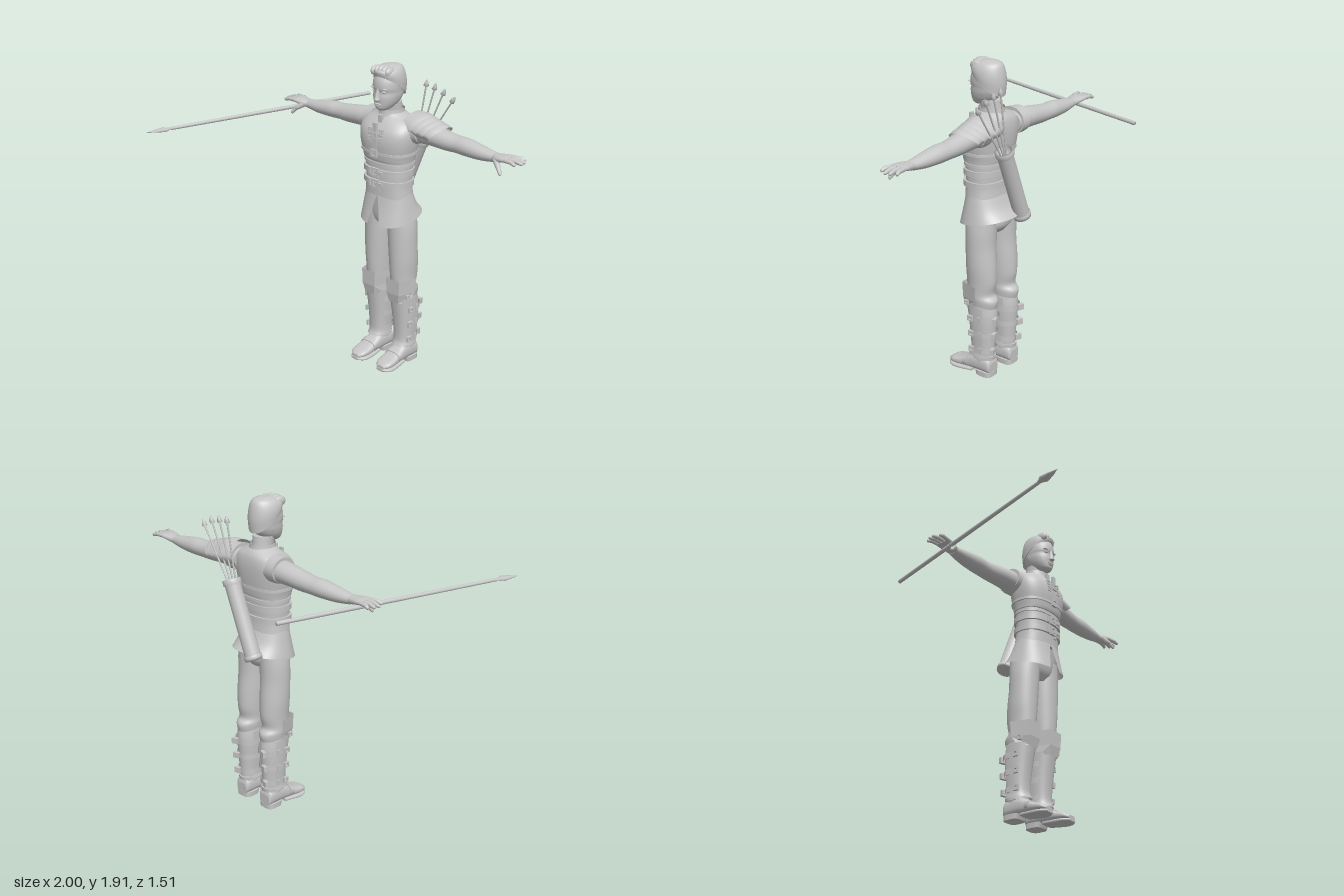
import * as THREE from 'three';

const grey = new THREE.MeshStandardMaterial({ color: 0xc6c6c6, side: THREE.DoubleSide });
grey.name = 'clay grey';

// Loft of superellipse rings, listed upwards: [y, x, zFront, zBack, rx, power, gap, tilt].
// A gap leaves the ring open around angle "phase" (0 = front, PI = back).
function loft(rows, { segs = 32, sub = 4, phase = 0, caps = true } = {}) {
  const full = rows.map(r => [r[0], r[1], r[2], r[3], r[4], r[5] ?? 2, r[6] ?? 0, r[7] ?? 0]);
  const curve = new THREE.CubicInterpolant(new Float32Array(full.map((r, i) => i)), new Float32Array(full.flat()), 8);
  const open = full.some(r => r[6] > 0), pos = [], idx = [], n = (rows.length - 1) * sub, w = segs + 1;
  const bend = (v, p) => Math.sign(v) * Math.abs(v) ** (2 / p);
  for (let i = 0; i <= n; i++) {
    const [y, x, zf, zb, rx, p, gap, tilt] = Array.from(curve.evaluate(i / sub));
    const cz = (zf + zb) / 2, rz = (zf - zb) / 2;
    for (let j = 0; j <= segs; j++) {
      const a = phase + gap + (2 * Math.PI - 2 * gap) * (open ? j / segs : (j % segs) / segs);
      const dz = rz * bend(Math.cos(a), p);
      pos.push(x + rx * bend(Math.sin(a), p), y + tilt * dz, cz + dz);
    }
  }
  for (let i = 0; i < n; i++) for (let j = 0; j < segs; j++) {
    const a = i * w + j, b = i * w + (open ? j + 1 : (j + 1) % segs);
    idx.push(a, b, b + w, a, b + w, a + w);
  }
  if (caps && !open) for (const [row, top] of [[0, false], [n, true]]) {
    const start = pos.length / 3, ring = pos.slice(row * w * 3, (row * w + segs) * 3), c = [0, 0, 0];
    ring.forEach((v, k) => { c[k % 3] += v / segs; });
    pos.push(...ring, ...c);
    for (let j = 0; j < segs; j++) {
      const a = start + j, b = start + (j + 1) % segs;
      idx.push(start + segs, top ? a : b, top ? b : a);
    }
  }
  const g = new THREE.BufferGeometry();
  g.setAttribute('position', new THREE.Float32BufferAttribute(pos, 3));
  g.setIndex(idx);
  g.computeVertexNormals();
  return g;
}

// Turned profile [radius, fraction of length] running from point a to point b.
function turned(a, b, profile, segs = 12) {
  const A = new THREE.Vector3(...a), d = new THREE.Vector3(...b).sub(A), len = d.length();
  const g = new THREE.LatheGeometry(profile.map(([r, t]) => new THREE.Vector2(r, t * len)), segs);
  g.applyQuaternion(new THREE.Quaternion().setFromUnitVectors(new THREE.Vector3(0, 1, 0), d.normalize()));
  return g.translate(...a);
}

function ball(x, y, z, sx, sy, sz) {
  return new THREE.SphereGeometry(1, 20, 14).scale(sx, sy, sz).translate(x, y, z);
}

function box(x, y, z, w, h, d, ry = 0) {
  return new THREE.BoxGeometry(w, h, d).rotateY(ry).translate(x, y, z);
}

// Square buckle frame with an open centre.
function buckle(x, y, z, s, ry = 0) {
  const rect = (T, r) => new T([[-r, -r], [r, -r], [r, r], [-r, r]].map(p => new THREE.Vector2(...p)));
  const shape = rect(THREE.Shape, s);
  shape.holes.push(rect(THREE.Path, s * 0.55));
  return new THREE.ExtrudeGeometry(shape, { depth: 0.014, bevelEnabled: false }).rotateY(ry).translate(x, y, z);
}

function mirror(g) {
  const m = g.clone().scale(-1, 1, 1);
  if (!m.index) m.setIndex([...Array(m.attributes.position.count).keys()]);
  const a = m.index.array;
  for (let i = 0; i < a.length; i += 3) [a[i], a[i + 1]] = [a[i + 1], a[i]];
  return m;
}

export function createModel() {
  const root = new THREE.Group(), body = new THREE.Group();
  root.name = 'archer';
  body.name = 'body';
  body.position.x = 0.07;
  root.add(body);
  const add = (name, g, parent = body) => {
    const m = new THREE.Mesh(g, grey);
    m.name = name;
    parent.add(m);
  };
  const pair = (name, g) => { add(name + 'Left', g); add(name + 'Right', mirror(g)); };

  // Head and face
  add('neck', loft([[1.55, 0, -.16, -.31, .075], [1.61, 0, -.165, -.29, .06], [1.68, 0, -.15, -.28, .06]]));
  add('head', loft([[1.64, 0, -.115, -.16, .022], [1.655, 0, -.1, -.21, .046], [1.685, 0, -.097, -.255, .066, 2.2],
    [1.72, 0, -.095, -.28, .077, 2.2], [1.75, 0, -.1, -.29, .08, 2.2], [1.775, 0, -.093, -.295, .083, 2.2],
    [1.82, 0, -.097, -.3, .083], [1.87, 0, -.12, -.28, .06]]));
  add('nose', loft([[1.7, 0, -.088, -.12, .013], [1.708, 0, -.073, -.12, .019], [1.725, 0, -.078, -.12, .014],
    [1.775, 0, -.092, -.12, .009]], { segs: 16 }));
  add('upperLip', ball(0, 1.682, -.098, .026, .006, .008));
  add('lowerLip', ball(0, 1.673, -.1, .022, .006, .008));
  pair('eye', ball(.033, 1.755, -.112, .016, .008, .012));
  pair('brow', ball(.036, 1.774, -.108, .024, .006, .011));
  pair('ear', ball(.084, 1.742, -.205, .011, .034, .02).rotateY(0.08));
  add('hair', loft([[1.775, 0, -.1, -.302, .087, 2, 0, .7], [1.82, 0, -.095, -.308, .09, 2, 0, .4],
    [1.86, 0, -.098, -.3, .082, 2, 0, .15], [1.888, 0, -.118, -.28, .062], [1.902, 0, -.165, -.235, .025]]));
  for (let i = 0; i < 5; i++)
    add('hairLock', ball(-.048 + i * .024, 1.868 + .008 * Math.sin(i * 0.8), -.135 - .004 * i, .02, .03, .042));

  // Torso armour
  add('chestArmour', loft([[1.335, 0, -.09, -.32, .162, 2.4], [1.36, 0, -.083, -.325, .166, 2.4],
    [1.45, 0, -.073, -.335, .184, 2.5], [1.52, 0, -.085, -.337, .186, 2.6], [1.57, 0, -.118, -.33, .165, 2.4],
    [1.6, 0, -.142, -.315, .11], [1.62, 0, -.15, -.295, .07]], { segs: 48 }));
  add('collar', loft([[1.57, 0, -.13, -.325, .095], [1.61, 0, -.143, -.305, .076], [1.638, 0, -.148, -.3, .072]],
    { caps: false }));
  add('waistArmour', loft([[1.105, 0, -.1, -.315, .155, 2.4], [1.2, 0, -.1, -.307, .148, 2.4],
    [1.345, 0, -.098, -.315, .155, 2.4]], { segs: 48 }));
  const belt = (name, y, h, zf, zb, rx) => add(name, loft([[y - h, 0, zf, zb, rx, 2.4], [y + h, 0, zf, zb, rx, 2.4]],
    { segs: 48, sub: 1 }));
  belt('upperBelt', 1.27, .017, -.086, -.319, .161);
  belt('lowerBelt', 1.2, .017, -.086, -.319, .159);
  belt('waistTrim', 1.318, .008, -.092, -.32, .16);
  belt('chestBand', 1.39, .008, -.074, -.333, .179);
  for (const y of [1.27, 1.2]) {
    add('beltBuckle', buckle(0, y, -.087, .027));
    add('beltTongue', box(.03, y, -.077, .06, .022, .01));
    add('beltLoop', box(-.045, y, -.085, .012, .042, .012));
  }
  add('beltEnd', box(.024, 1.185, -.083, .022, .06, .008));
  add('chestStrap', box(0, 1.475, -.078, .028, .2, .016));
  add('chestBuckle', buckle(0, 1.5, -.076, .02));
  add('lowerChestBuckle', buckle(0, 1.39, -.076, .023));
  pair('sideClaspUpper', buckle(.042, 1.525, -.092, .013));
  pair('sideClaspLower', buckle(.042, 1.475, -.084, .013));
  pair('claspStrap', box(.03, 1.5, -.084, .05, .014, .012));
  add('collarClasp', box(0, 1.585, -.126, .026, .05, .02));

  // Flared skirt, split in front
  add('skirt', loft([[.972, 0, -.06, -.395, .184, 2.3, .2, -.21], [1.05, 0, -.085, -.345, .168, 2.3, .1, -.06],
    [1.13, 0, -.102, -.312, .153, 2.3, .01, 0]], { segs: 48 }));

  // Trousers
  add('hips', loft([[.9, 0, -.165, -.3, .09], [.96, 0, -.13, -.33, .155, 2.3], [1.1, 0, -.115, -.305, .148, 2.3]]));
  pair('trouserLeg', loft([[.42, .1, -.165, -.33, .06], [.49, .1, -.155, -.345, .07], [.53, .1, -.15, -.318, .072],
    [.6, .098, -.143, -.33, .076], [.7, .098, -.138, -.328, .083], [.82, .095, -.134, -.318, .086],
    [.92, .092, -.131, -.32, .086], [1.02, .085, -.125, -.325, .078]]));

  // Boots, greaves and knee guards
  pair('bootShaft', loft([[.06, .103, -.2, -.325, .05], [.13, .103, -.193, -.325, .054], [.25, .102, -.185, -.332, .062],
    [.38, .1, -.17, -.342, .07], [.46, .1, -.165, -.335, .066]]));
  pair('greave', loft([[.125, .103, -.168, -.335, .066, 2.4, 1.15], [.17, .103, -.182, -.33, .062, 2.4, 1.15],
    [.3, .102, -.172, -.345, .07, 2.4, 1.15], [.45, .1, -.15, -.345, .076, 2.4, 1.15]], { phase: Math.PI }));
  const knee = loft([[.43, .1, -.138, -.34, .072, 2.6, 1.8], [.49, .1, -.122, -.34, .08, 2.6, 1.5],
    [.585, .1, -.12, -.345, .088, 2.6, 1.45]], { segs: 3, sub: 1, phase: Math.PI }).toNonIndexed();
  knee.computeVertexNormals();
  pair('kneeGuard', knee);
  pair('kneeBuckle', buckle(.172, .475, -.185, .014, Math.PI / 2));
  for (const [y, rx, zf, zb] of [[.38, .077, -.164, -.348], [.28, .072, -.172, -.341], [.175, .066, -.181, -.333]]) {
    pair('shinStrap', loft([[y - .016, .101, zf, zb, rx, 2.3, 1.1], [y + .016, .101, zf, zb, rx, 2.3, 1.1]], { sub: 1 }));
    pair('strapBuckle', buckle(.097 + rx, y, -.215, .017, Math.PI / 2));
    pair('strapClasp', box(.125, y, zb - .006, .04, .036, .022, .3));
    pair('strapStud', box(.096 + rx, y, -.275, .016, .036, .024));
  }

  // Shoes, swept from heel to toe
  const lengthwise = g => g.rotateX(Math.PI / 2);
  pair('shoe', lengthwise(loft([[-.33, .103, -.02, -.09, .042, 2.6], [-.31, .103, -.02, -.125, .052, 2.6],
    [-.22, .103, -.02, -.13, .054, 2.6], [-.16, .104, -.02, -.1, .054, 2.6], [-.1, .106, -.02, -.074, .058, 2.6],
    [-.05, .107, -.02, -.06, .052, 2.6], [-.022, .107, -.02, -.042, .028, 2.4]])));
  pair('sole', lengthwise(loft([[-.2, .104, -.008, -.028, .05, 4], [-.1, .106, 0, -.024, .062, 4],
    [-.05, .107, 0, -.024, .056, 3], [-.017, .107, -.006, -.024, .026, 3]])));
  pair('heel', loft([[0, .103, -.225, -.332, .053, 3.5], [.032, .103, -.215, -.332, .054, 3.5]], { sub: 1 }));
  pair('instepStrap', lengthwise(loft([[-.165, .104, -.03, -.108, .059, 2.6], [-.135, .105, -.03, -.094, .06, 2.6]], { sub: 1 })));
  pair('ankleCuff', loft([[.11, .103, -.185, -.332, .06], [.135, .103, -.185, -.335, .06]], { sub: 1 }));

  // Arms run sideways: section x becomes minus height
  const sideways = g => g.rotateZ(-Math.PI / 2);
  pair('arm', sideways(loft([[.12, -1.52, -.18, -.335, .066], [.2, -1.52, -.192, -.335, .065],
    [.28, -1.518, -.2, -.335, .061], [.38, -1.508, -.208, -.33, .056], [.46, -1.504, -.215, -.328, .05],
    [.53, -1.503, -.213, -.326, .051], [.64, -1.496, -.218, -.313, .041], [.74, -1.495, -.23, -.296, .026]])));
  pair('palm', sideways(loft([[.725, -1.495, -.231, -.295, .026], [.765, -1.5, -.215, -.303, .022, 2.4],
    [.81, -1.507, -.209, -.312, .017, 2.6], [.838, -1.508, -.212, -.31, .012, 2.6]])));
  pair('sleeveCap', sideways(loft([[.14, -1.525, -.16, -.345, .082], [.185, -1.525, -.172, -.35, .078],
    [.212, -1.53, -.178, -.35, .072]])));
  const finger = [[.0125, 0], [.0115, .5], [.009, .88], [.005, .97], [0, 1]];
  [[.9, -.315], [.92, -.283], [.926, -.252], [.905, -.21]].forEach(([tip, z], i) => {
    const z0 = -.299 + i * .0255, mid = [.873, 1.51, (z0 + z) / 2];
    pair('fingerBase', turned([.82, 1.509, z0], mid, [[.013, 0], [.012, 1], [0, 1.1]]));
    pair('fingerTip', turned(mid, [tip, 1.5, z], finger));
  });
  pair('thumbBase', turned([.755, 1.495, -.235], [.8, 1.462, -.203], [[.019, 0], [.016, .6], [.013, 1], [0, 1.1]]));
  pair('thumbTip', turned([.798, 1.463, -.204], [.825, 1.43, -.19], finger));

  // Layered pauldron on the left shoulder, open underneath
  for (let i = 0; i < 4; i++) {
    const s = .1 + i * .045, top = 1.632 - i * .012, d = .11 - i * .004;
    add('pauldronPlate', loft([[s, .275, -1.48, -top, d - .006, 1.8, .95, -.5], [s + .05, .278, -1.475, -top + .002, d, 1.7, .95, -.8],
      [s + .085, .28, -1.47, -top + .016, d + .002, 1.6, .95, -1]]).rotateX(Math.PI / 2).rotateY(Math.PI / 2));
  }

  // Quiver and arrows on the back
  const gear = new THREE.Group();
  gear.name = 'gear';
  root.add(gear);
  add('quiver', turned([-.018, .985, -.383], [.165, 1.43, -.383], [[0, 0], [.052, 0], [.054, .03], [.054, .06], [.047, .065],
    [.047, .93], [.054, .935], [.054, 1], [.043, 1], [.043, .9], [0, .9]], 28), gear);
  [[.2, 1.8], [.268, 1.79], [.338, 1.77], [.412, 1.735]].forEach(([x, y], i) => {
    add('arrow', turned([.125 + i * .012, 1.36, -.375 - i * .004], [x, y, -.38], [[.005, 0], [.005, .89],
      [.016, .9], [.011, .95], [0, 1]], 8), gear);
  });

  // Spear under the right hand
  const butt = [-.602, 1.474, -.75], neck = [-.958, 1.468, .6];
  add('spearShaft', turned(butt, neck, [[0, 0], [.012, 0], [.0125, .5], [.01, 1], [0, 1]], 14), gear);
  const head = turned([0, 0, 0], [0, 0, .165], [[.012, 0], [.015, .1], [.031, .28], [.02, .62], [0, 1]], 8);
  head.scale(1, .4, 1).rotateY(-.262).translate(...neck);
  add('spearHead', head, gear);
  return root;
}
